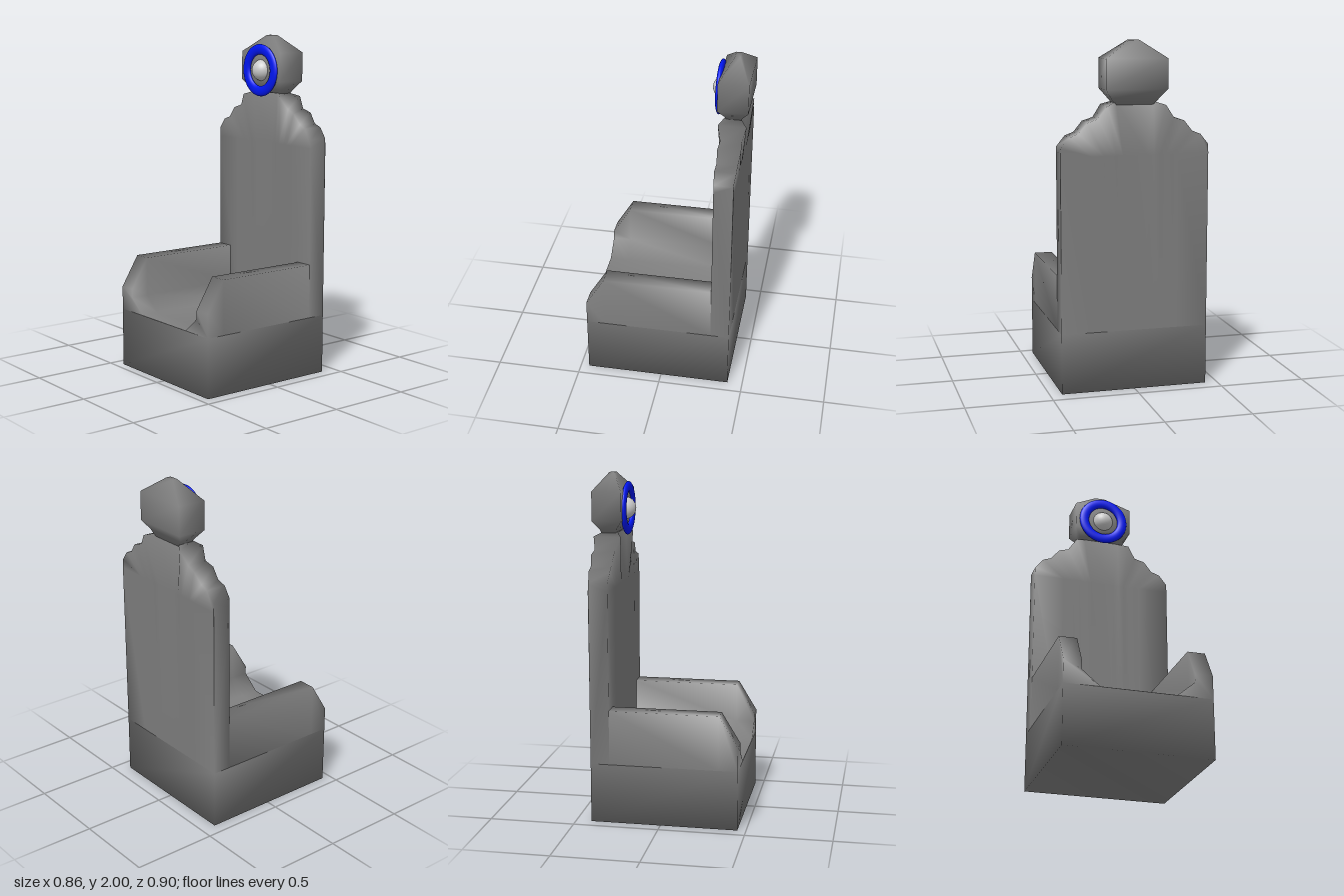
import * as THREE from 'three';
import { mergeGeometries, mergeVertices } from 'three/addons/utils/BufferGeometryUtils.js';

const stone = new THREE.MeshStandardMaterial({ color: 0x7e7e7e });
const pale = new THREE.MeshStandardMaterial({ color: 0xeeeeee });
const blue = new THREE.MeshStandardMaterial({ color: 0x0016f5 });

// Joins counter-clockwise outlines { w, pts } along z, from high w to low w; a point may carry its own w
function loft(sections, { closed = true, capStart = true, capEnd = true } = {}) {
  const n = sections[0].pts.length, last = sections.length - 1, pos = [], idx = [];
  for (const { w, pts } of sections) for (const [u, v, own = w] of pts) pos.push(u, v, own);
  for (let i = 0; i < last; i++) {
    for (let j = 0; j < (closed ? n : n - 1); j++) {
      const a = i * n + j, b = i * n + (j + 1) % n;
      idx.push(a, a + n, b, b, a + n, b + n);
    }
  }
  const cap = (s) => THREE.ShapeUtils.triangulateShape(s.pts.map(([u, v]) => new THREE.Vector2(u, v)), []);
  if (capStart) for (const [a, b, c] of cap(sections[0])) idx.push(a, b, c);
  const o = last * n;
  if (capEnd) for (const [a, b, c] of cap(sections[last])) idx.push(o + a, o + c, o + b);
  const g = new THREE.BufferGeometry();
  g.setAttribute('position', new THREE.Float32BufferAttribute(pos, 3));
  g.setIndex(idx);
  return g;
}

// Plinth under the whole chair, open at the top
function makeBase() {
  const pts = [[-0.43, -0.45], [0.43, -0.45], [0.43, 0.41], [-0.43, 0.41]];
  return loft([{ w: 0.35, pts }, { w: 0, pts }], { capStart: false }).rotateX(-Math.PI / 2);
}

// Seat between raised arms; the arm tops slope down at the front
function makeSeat() {
  const outline = (top) => [
    [0.43, 0.35], [0.43, top], [0.325, top], [0.325, 0.44], [0.22, 0.352],
    [-0.22, 0.352], [-0.325, 0.44], [-0.325, top], [-0.43, top], [-0.43, 0.35],
  ];
  const sections = [[0.45, 0.49], [0.34, 0.67], [-0.3, 0.67]].map(([w, top]) => ({ w, pts: outline(top) }));
  return loft(sections, { closed: false, capEnd: false });
}

// Backrest with stepped shoulders: x, top height, front and rear depth at the top
function makeBackrest() {
  const half = [
    [0.43, 1.41, 0.3, 0.41], [0.38, 1.47, 0.295, 0.418], [0.33, 1.49, 0.3, 0.418],
    [0.28, 1.55, 0.295, 0.428], [0.22, 1.57, 0.302, 0.422], [0.17, 1.64, 0.28, 0.44],
    [0.11, 1.66, 0.31, 0.4],
  ];
  const columns = [...half, ...half.map(([x, ...rest]) => [-x, ...rest]).reverse()];
  const sections = columns.map(([w, top, front, rear]) => {
    // Inner columns draw together below the shoulders, leaving wide soft borders
    const low = Math.abs(w) < 0.43 ? w * 0.65 : w;
    return {
      w,
      pts: [[0.41, 0.35, low], [0.413, 1.36, low], [rear, top], [front, top], [0.3, 1.36, low], [0.3, 0.35, low]],
    };
  });
  return loft(sections, { closed: false }).rotateY(Math.PI / 2);
}

export function createModel() {
  const group = new THREE.Group();
  const add = (name, geometry, material, y = 0, z = 0) => {
    const mesh = new THREE.Mesh(geometry, material);
    mesh.name = name;
    mesh.position.set(0, y, z);
    group.add(mesh);
    return mesh;
  };

  // Plinth, seat and backrest welded so the shading flows across them
  const body = mergeVertices(mergeGeometries([makeBase(), makeSeat(), makeBackrest()]));
  body.computeVertexNormals();
  add('chairBody', body, stone);

  // Faceted headpiece on a short neck: height, half width, half depth
  const rect = (x, z) => [[-x, -z], [x, -z], [x, z], [-x, z]];
  const head = loft([[2, 0.03, 0.015], [1.9, 0.178, 0.087], [1.73, 0.178, 0.087],
    [1.68, 0.14, 0.05], [1.63, 0.1, 0.035]].map(([w, x, z]) => ({ w, pts: rect(x, z) })));
  head.rotateX(-Math.PI / 2);
  head.computeVertexNormals();
  add('headpiece', head, stone, 0, -0.362);

  // Flattened ring around a round stud
  const ring = add('ring', new THREE.TorusGeometry(0.125, 0.031, 16, 48), blue, 1.792, -0.271);
  ring.scale.z = 0.5;
  add('stud', new THREE.SphereGeometry(0.065, 32, 20), pale, 1.792, -0.29);

  return group;
}
